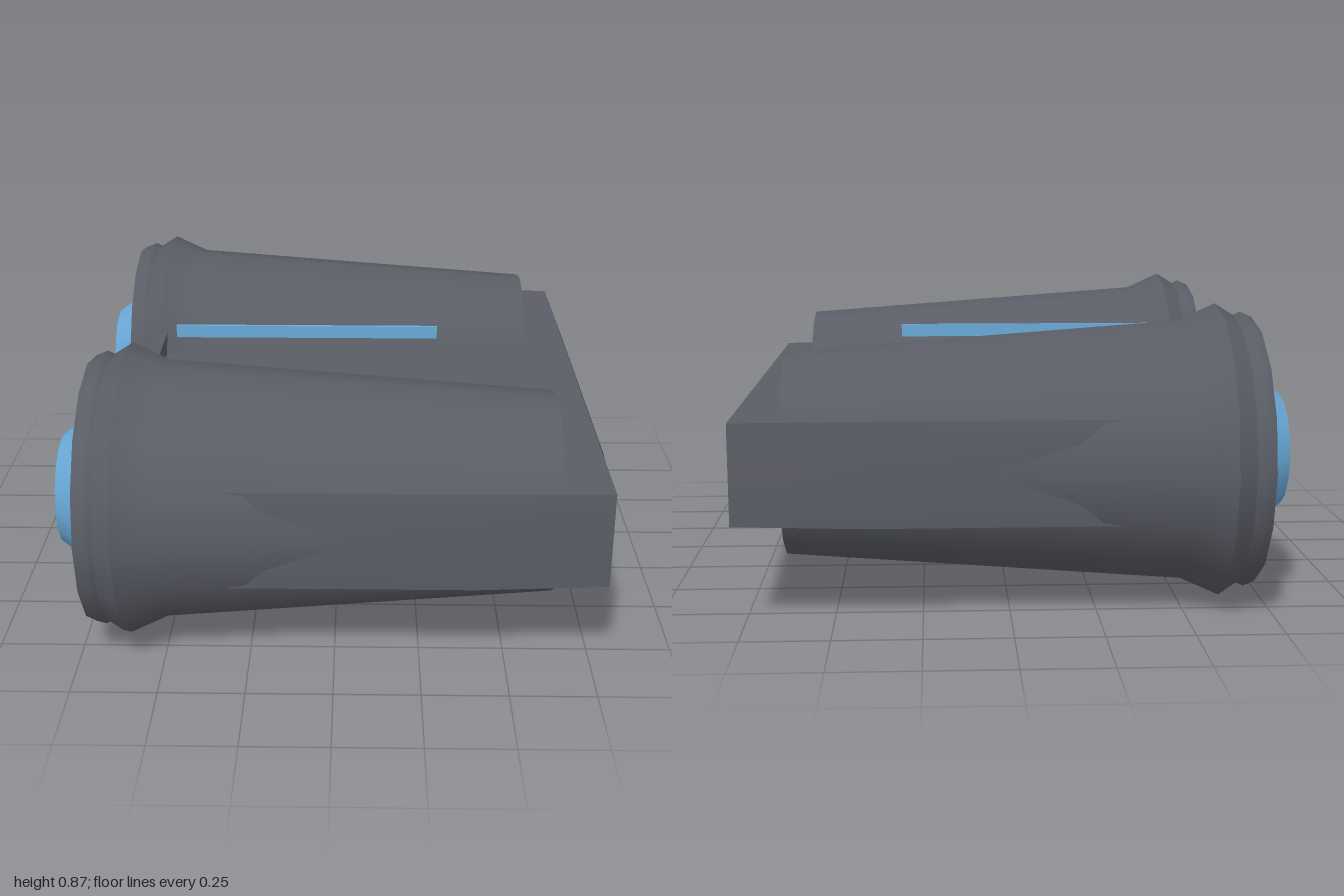
import * as THREE from 'three';

const grey = new THREE.MeshStandardMaterial({ color: 0x5b5d66 });
grey.name = 'darkGrey';
const blue = new THREE.MeshStandardMaterial({ color: 0x69aad8 });
blue.name = 'lensBlue';

const AXIS_Y = 0.44, AXIS_Z = 0.563;

function mesh(name, geometry, material, x = 0, y = 0, z = 0) {
  const m = new THREE.Mesh(geometry, material);
  m.name = name;
  m.position.set(x, y, z);
  return m;
}

// Sixteen-sided turned part along x, from [x, radius] pairs
function turned(name, profile, material) {
  const geo = new THREE.LatheGeometry(profile.map(([x, r]) => new THREE.Vector2(r, x)), 16);
  return mesh(name, geo.rotateZ(-Math.PI / 2), material);
}

// One tapered barrel with its rim, recess and eyepiece
function barrel(side) {
  const g = new THREE.Group();
  g.name = side > 0 ? 'frontBarrel' : 'rearBarrel';
  g.position.set(0, AXIS_Y, side * AXIS_Z);
  g.add(
    turned('barrelBody', [[-0.61, 0.435], [-0.5, 0.385], [0.645, 0.3]], grey),
    turned('barrelEnd', [[0.645, 0.3], [0.645, 0]], grey),
    turned('flare', [[-0.665, 0.4], [-0.61, 0.435]], grey),
    turned('rimBand', [[-0.72, 0.395], [-0.685, 0.41], [-0.665, 0.4]], grey),
    turned('rimFace', [[-0.72, 0.345], [-0.72, 0.395]], grey),
    turned('recessWall', [[-0.64, 0.325], [-0.72, 0.345]], grey),
    turned('recessFloor', [[-0.64, 0], [-0.64, 0.325]], grey),
    turned('lens', [[-0.81, 0], [-0.81, 0.165]], blue),
    turned('eyepieceBevel', [[-0.81, 0.165], [-0.75, 0.21]], blue),
    turned('eyepieceTube', [[-0.75, 0.21], [-0.735, 0.2], [-0.64, 0.2]], blue)
  );
  return g;
}

// Slab joining the barrels, with gently bulging sides
function bodySlab() {
  const geo = new THREE.BoxGeometry(1.5, 0.29, 1.765, 4, 3, 4);
  const p = geo.attributes.position;
  for (let i = 0; i < p.count; i++) {
    const x = p.getX(i), y = p.getY(i), z = p.getZ(i);
    const inX = Math.abs(x) < 0.7, inY = Math.abs(y) < 0.1, inZ = Math.abs(z) < 0.8;
    const bulge = inY && inZ && !inX ? Math.sign(x) * 0.024 : 0;
    p.setXYZ(i, x + bulge,
      inY ? Math.sign(y) * 0.09 : y + Math.sign(y) * ((inX ? 0.005 : 0) + (inX && inZ ? 0.008 : 0)),
      (inZ ? z * 1.13 : z) + (inX && !inZ ? Math.sign(z) * (inY ? 0.025 : 0.018) : 0));
  }
  geo.computeVertexNormals();
  return mesh('bodySlab', geo, grey, 0.03, AXIS_Y, 0);
}

export function createModel() {
  const model = new THREE.Group();
  model.name = 'twinBarrelViewer';
  model.add(bodySlab());
  // Raised cross bar between the barrels
  model.add(mesh('crossBar', new THREE.BoxGeometry(0.04, 0.385, 0.6), grey, -0.61, 0.4625, 0));
  // Thin strip above the slab
  model.add(mesh('topStrip', new THREE.BoxGeometry(0.85, 0.04, 0.012), blue, -0.105, 0.735, 0));
  for (const side of [1, -1]) {
    model.add(barrel(side));
    model.add(mesh('stud', new THREE.SphereGeometry(0.014, 6, 4), grey, 0.645, 0.055, side * 0.225));
  }
  return model;
}
